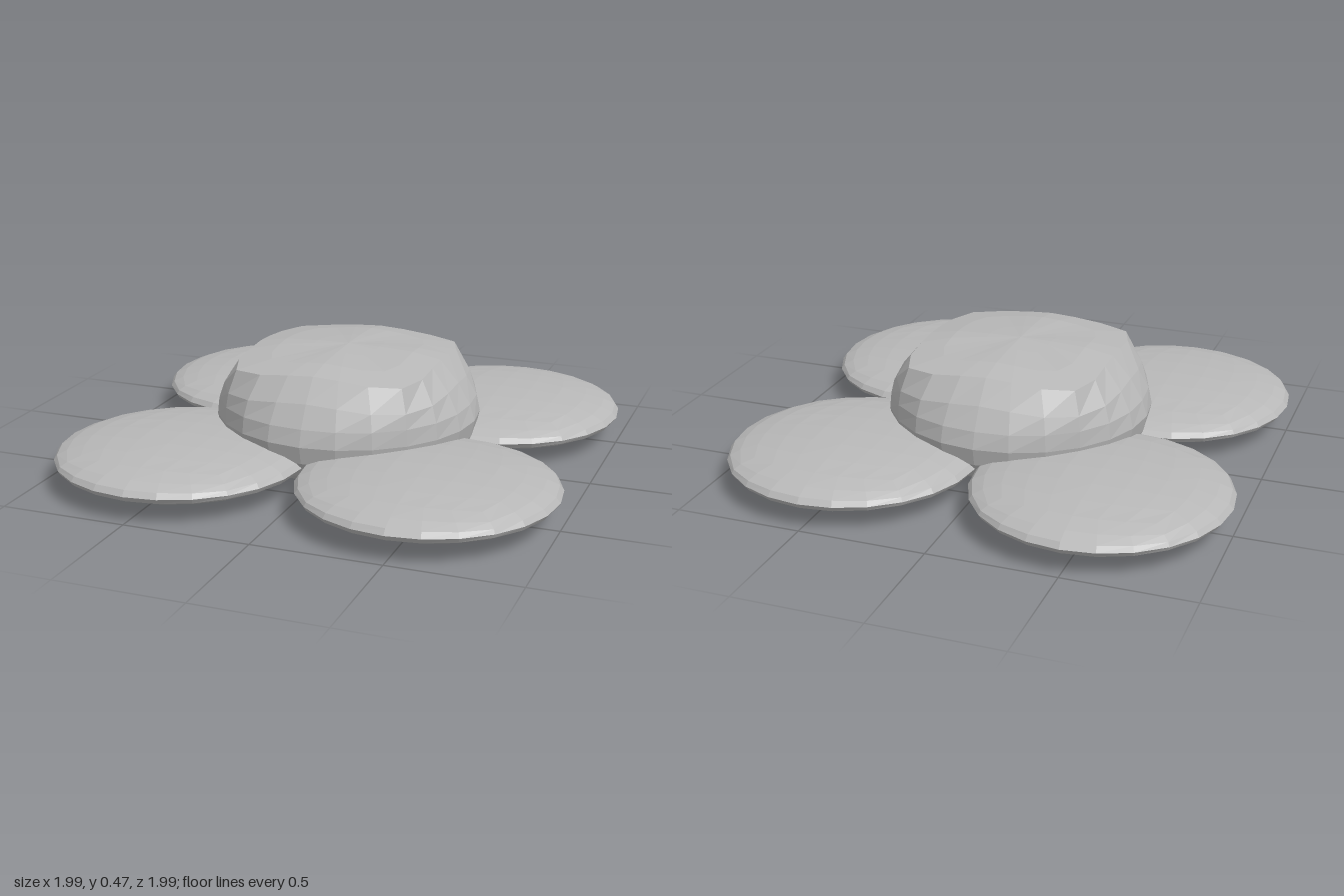
import * as THREE from 'three';

const SIDES = 24;

// Closed body from stacked rings: [half width, height, squareness], 2 is a circle.
function ringBody(rings) {
  const pos = [], index = [];
  for (const [h, y, n] of rings) {
    for (let i = 0; i < SIDES; i++) {
      const a = (i / SIDES) * Math.PI * 2;
      const c = Math.cos(a), s = Math.sin(a);
      const r = h / Math.pow(Math.abs(c) ** n + Math.abs(s) ** n, 1 / n);
      const drop = n > 2.5 ? 0.06 * h * Math.sin(2 * a) ** 2 : 0; // corners sag slightly
      pos.push(r * c, y - drop, r * s);
    }
  }
  for (let j = 0; j < rings.length - 1; j++) {
    for (let i = 0; i < SIDES; i++) {
      const k = (i + 1) % SIDES;
      const a = j * SIDES + i, b = j * SIDES + k;
      index.push(a, a + SIDES, b, b, a + SIDES, b + SIDES);
    }
  }
  // close the bottom and the top
  const last = (rings.length - 1) * SIDES;
  const bottom = pos.length / 3;
  pos.push(0, rings[0][1], 0, 0, 0.466, 0);
  for (let i = 0; i < SIDES; i++) {
    const k = (i + 1) % SIDES;
    index.push(bottom, i, k, bottom + 1, last + k, last + i);
  }
  const geo = new THREE.BufferGeometry();
  geo.setAttribute('position', new THREE.Float32BufferAttribute(pos, 3));
  geo.setIndex(index);
  geo.computeVertexNormals();
  return geo;
}

// Subdivided cube pushed out to an ellipsoid.
function cubeEllipsoid(rx, ry, rz) {
  const geo = new THREE.BoxGeometry(2, 2, 2, 6, 6, 6);
  const p = geo.attributes.position;
  const v = new THREE.Vector3();
  const even = (t) => Math.tan((t * Math.PI) / 4);
  for (let i = 0; i < p.count; i++) {
    v.set(even(p.getX(i)), even(p.getY(i)), even(p.getZ(i))).normalize();
    p.setXYZ(i, v.x * rx, v.y * ry, v.z * rz);
  }
  geo.computeVertexNormals();
  return geo;
}

export function createModel() {
  const model = new THREE.Group();
  const grey = new THREE.MeshStandardMaterial({ color: 0xb8b8b8, flatShading: true });
  grey.name = 'grey';

  // Central dome, round at the waist and squarer towards the top
  const dome = new THREE.Mesh(ringBody([
    [0.35, 0.0, 2],
    [0.4, 0.015, 2],
    [0.47, 0.06, 2],
    [0.515, 0.13, 2],
    [0.53, 0.2, 2],
    [0.51, 0.265, 2.2],
    [0.46, 0.35, 3],
    [0.385, 0.437, 5.5],
    [0.27, 0.457, 5],
    [0.13, 0.464, 4],
  ]), grey);
  dome.name = 'dome';
  model.add(dome);

  // Four flat pads around the dome
  const padGeo = cubeEllipsoid(0.497, 0.085, 0.497);
  for (const x of [-1, 1]) {
    for (const z of [-1, 1]) {
      const pad = new THREE.Mesh(padGeo, grey);
      pad.name = (z > 0 ? 'front' : 'back') + (x > 0 ? 'Left' : 'Right') + 'Pad';
      pad.position.set(x * 0.5, 0.107, z * 0.5);
      model.add(pad);
    }
  }
  return model;
}
